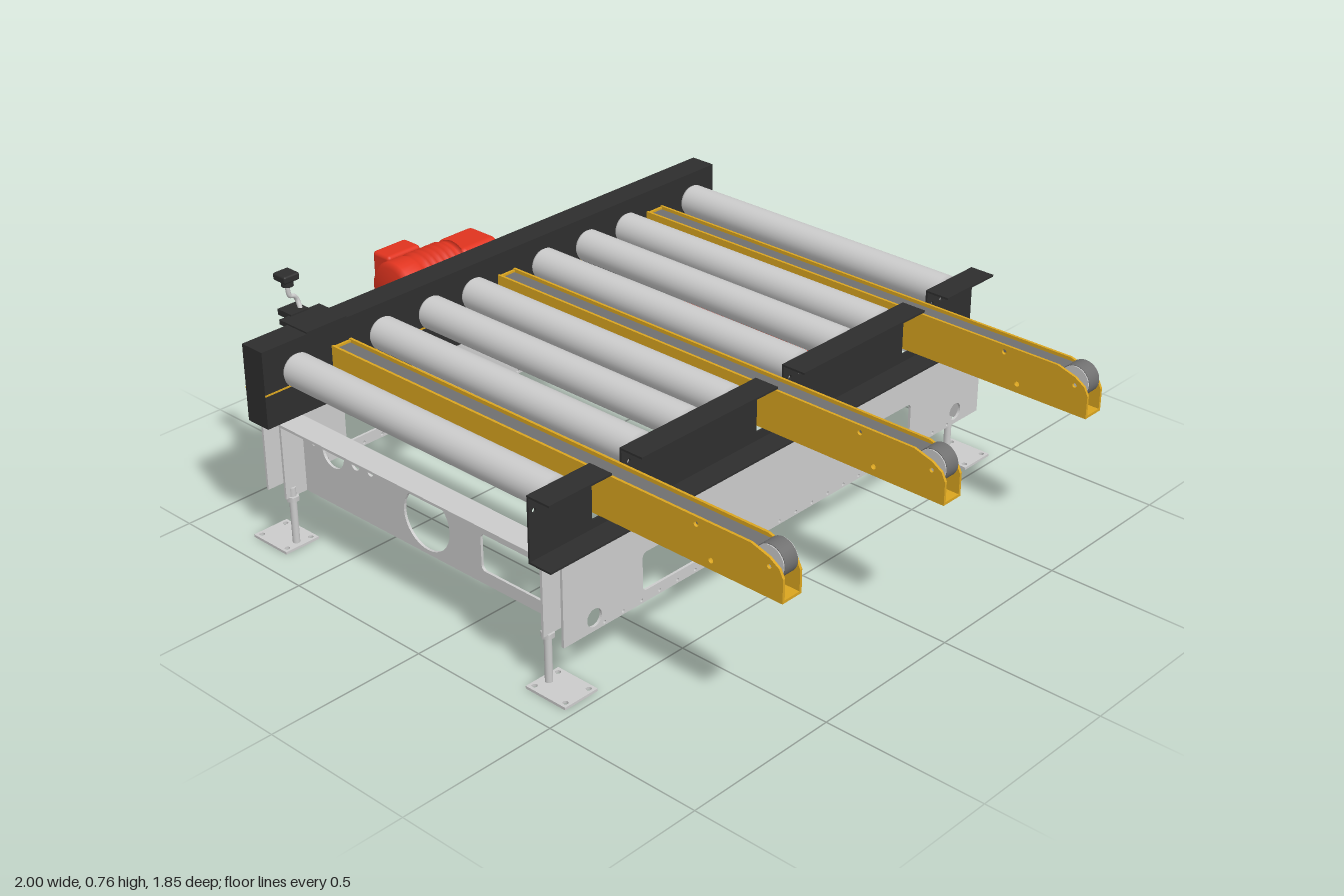
import * as THREE from 'three';
import { RoundedBoxGeometry } from 'three/addons/geometries/RoundedBoxGeometry.js';

const mat = (color) => new THREE.MeshStandardMaterial({ color, side: THREE.DoubleSide });

export function createModel() {
  const model = new THREE.Group();
  const grey = mat(0xcccccc), black = mat(0x2e2e2e), yellow = mat(0xdaa520), red = mat(0xe0341f), rubber = mat(0x707070);

  const add = (name, geo, material, x = 0, y = 0, z = 0, parent = model) => {
    const m = new THREE.Mesh(geo, material);
    m.name = name;
    m.position.set(x, y, z);
    parent.add(m);
    return m;
  };
  // box given by its limits on each axis
  const box = (name, material, [x0, x1], [y0, y1], [z0, z1], parent = model) =>
    add(name, new THREE.BoxGeometry(x1 - x0, y1 - y0, z1 - z0), material,
      (x0 + x1) / 2, (y0 + y1) / 2, (z0 + z1) / 2, parent);
  const soft = (name, material, [x0, x1], [y0, y1], [z0, z1], r, parent) =>
    add(name, new RoundedBoxGeometry(x1 - x0, y1 - y0, z1 - z0, 3, r), material,
      (x0 + x1) / 2, (y0 + y1) / 2, (z0 + z1) / 2, parent);
  const alongX = (geo) => geo.rotateZ(-Math.PI / 2);
  const alongZ = (geo) => geo.rotateX(Math.PI / 2);
  const cyl = (r, len, n = 32) => new THREE.CylinderGeometry(r, r, len, n);

  const outline = (pts) => new THREE.Shape(pts.map(([a, b]) => new THREE.Vector2(a, b)));
  const hole = (shape, x, y, r) => shape.holes.push(new THREE.Path().absarc(x, y, r, 0, Math.PI * 2, true));
  const windowHole = (shape, x0, x1, y0, y1, r = 0.015) => {
    const p = new THREE.Path();
    p.absarc(x0 + r, y0 + r, r, Math.PI, Math.PI * 1.5);
    p.absarc(x1 - r, y0 + r, r, -Math.PI / 2, 0);
    p.absarc(x1 - r, y1 - r, r, 0, Math.PI / 2);
    p.absarc(x0 + r, y1 - r, r, Math.PI / 2, Math.PI);
    p.closePath();
    shape.holes.push(p);
  };
  const sheet = (shape, depth) =>
    new THREE.ExtrudeGeometry(shape, { depth, bevelEnabled: false, curveSegments: 16 }).translate(0, 0, -depth / 2);
  const sheetZY = (shape, depth) => sheet(shape, depth).rotateY(-Math.PI / 2);

  // base frame: side plates
  const side = outline([[-0.885, 0.16], [0.885, 0.16], [0.885, 0.4], [-0.885, 0.4]]);
  windowHole(side, 0.35, 0.59, 0.195, 0.313);
  windowHole(side, -0.55, -0.31, 0.195, 0.313);
  for (const s of [-1, 1]) hole(side, s * 0.772, 0.2, 0.027);
  for (let i = 0; i < 22; i++) hole(side, -0.735 + i * 0.07, 0.17, 0.005);
  for (const x of [-0.761, 0.436]) add('sidePlate', sheetZY(side, 0.008), grey, x);

  // base frame: recessed end plates, corner posts and feet
  const end = outline([[-0.762, 0.16], [0.437, 0.16], [0.437, 0.4], [-0.762, 0.4]]);
  windowHole(end, 0.055, 0.305, 0.2, 0.315);
  hole(end, -0.16, 0.265, 0.092);
  hole(end, -0.545, 0.328, 0.046);
  hole(end, -0.45, 0.328, 0.017);
  hole(end, -0.387, 0.328, 0.012);
  hole(end, -0.63, 0.328, 0.006);
  for (const s of [-1, 1]) {
    const span = (a, b) => (s > 0 ? [a, b] : [-b, -a]);
    add('endPlate', sheet(end, 0.008), grey, 0, 0, s * 0.806);
    box('endTopFlange', grey, [-0.68, 0.36], [0.392, 0.4], span(0.806, 0.885));
    for (const [post, footX, legX] of [[-0.68, -0.728, -0.68], [0.362, 0.4, 0.355]]) {
      box('cornerPost', grey, [post - 0.004, post + 0.004], [0.16, 0.4], span(0.806, 0.885));
      add('legRod', cyl(0.011, 0.185, 16), grey, legX, 0.0975, s * 0.86);
      const foot = outline([[-0.073, -0.06], [0.073, -0.06], [0.073, 0.06], [-0.073, 0.06]]);
      for (const a of [-1, 1]) for (const b of [-1, 1]) hole(foot, a * 0.057, b * 0.043, 0.008);
      add('footPlate', sheet(foot, 0.008).rotateX(-Math.PI / 2), grey, footX, 0.004, s * 0.858);
      add('legNut', cyl(0.02, 0.015, 6), grey, legX, 0.155, s * 0.86);
    }
  }

  // closed drive-side rail with trim lines
  box('driveRail', black, [-0.765, -0.68], [0.4, 0.64], [-0.925, 0.925]);
  for (const x of [-0.766, -0.679]) box('railTrim', yellow, [x - 0.001, x + 0.001], [0.502, 0.507], [-0.925, 0.925]);

  // open rail on the transfer side, notched where the arms pass
  const armZ = [-0.648, 0, 0.645];
  const web = [[-0.925, 0.4], [0.925, 0.4], [0.925, 0.6]];
  for (const z of [...armZ].reverse()) web.push([z + 0.055, 0.6], [z + 0.055, 0.432], [z - 0.055, 0.432], [z - 0.055, 0.6]);
  web.push([-0.925, 0.6]);
  const webShape = outline(web);
  for (let i = 0; i < 43; i++) {
    const z = -0.9 + i * 0.043;
    if (armZ.every((a) => Math.abs(a - z) > 0.07)) hole(webShape, z, 0.55, 0.007);
  }
  add('openRailWeb', sheetZY(webShape, 0.006), black, 0.363);
  const cuts = [-0.98, ...armZ, 0.98];
  for (let i = 0; i < 4; i++)
    box('openRailFlange', black, [0.36, 0.44], [0.594, 0.6], [cuts[i] + 0.055, cuts[i + 1] - 0.055]);
  box('openRailBase', black, [0.36, 0.44], [0.4, 0.406], [-0.925, 0.925]);

  // rollers
  const rollerProfile = [[0, -0.515], [0.045, -0.515], [0.051, -0.505], [0.051, 0.505], [0.045, 0.515], [0, 0.515]]
    .map(([r, y]) => new THREE.Vector2(r, y));
  for (const z of [-0.815, -0.51, -0.335, -0.147, 0.142, 0.313, 0.5, 0.815]) {
    add('roller', alongX(new THREE.LatheGeometry(rollerProfile, 40)), grey, -0.16, 0.553, z);
    add('rollerAxle', alongX(cyl(0.012, 1.145, 12)), grey, -0.198, 0.553, z);
  }

  // transfer arms: channel, belt and end wheel
  const arm = outline([[-0.68, 0.44], [0.995, 0.44], [0.995, 0.51], [0.982, 0.535], [0.95, 0.555], [0.89, 0.573], [-0.68, 0.573]]);
  hole(arm, 0.71, 0.552, 0.008);
  hole(arm, 0.76, 0.467, 0.008);
  hole(arm, 0.95, 0.53, 0.007);
  for (const z of armZ) {
    const g = new THREE.Group();
    g.name = 'transferArm';
    g.position.z = z;
    model.add(g);
    for (const s of [-1, 1]) add('armSide', sheet(arm, 0.008), yellow, 0, 0, s * 0.032, g);
    box('armFloor', yellow, [-0.68, 0.995], [0.44, 0.448], [-0.032, 0.032], g);
    box('armBackEnd', yellow, [-0.68, -0.672], [0.44, 0.57], [-0.032, 0.032], g);
    box('belt', rubber, [-0.67, 0.93], [0.545, 0.565], [-0.024, 0.024], g);
    add('endWheel', alongZ(cyl(0.048, 0.048)), rubber, 0.943, 0.537, 0, g);
    for (const s of [-1, 1]) add('wheelRim', alongZ(cyl(0.046, 0.003)), grey, 0.943, 0.537, s * 0.0255, g);
  }

  // ribbed motor body running along y, from the flange to the fan cover
  const motorGeo = (r, len) => {
    const pts = [new THREE.Vector2(0, 0), new THREE.Vector2(r * 0.95, 0), new THREE.Vector2(r * 0.95, len * 0.08)];
    for (let i = 0; i < 5; i++) {
      const y = len * (0.12 + i * 0.1);
      pts.push(new THREE.Vector2(r * 0.9, y), new THREE.Vector2(r, y + 0.004), new THREE.Vector2(r, y + len * 0.06), new THREE.Vector2(r * 0.9, y + len * 0.065));
    }
    pts.push(new THREE.Vector2(r * 0.97, len * 0.66), new THREE.Vector2(r, len * 0.7), new THREE.Vector2(r, len * 0.93),
      new THREE.Vector2(r * 0.85, len), new THREE.Vector2(0, len));
    return new THREE.LatheGeometry(pts, 32);
  };

  // motor inside the frame
  const low = new THREE.Group();
  low.name = 'lowerMotor';
  model.add(low);
  add('motorBody', motorGeo(0.108, 0.28).rotateZ(Math.PI / 2), red, -0.265, 0.223, -0.69, low);
  soft('gearbox', red, [-0.275, -0.085], [0.16, 0.35], [-0.775, -0.635], 0.02, low);
  soft('terminalBox', red, [-0.47, -0.31], [0.14, 0.31], [-0.6, -0.492], 0.012, low);
  add('gearFlange', alongZ(cyl(0.09, 0.03, 40)), red, -0.16, 0.262, -0.8, low);
  add('gearHub', alongZ(cyl(0.04, 0.02)), red, -0.16, 0.262, -0.625, low);
  for (let i = 0; i < 6; i++) {
    const a = (i * Math.PI) / 3;
    add('flangeBolt', alongZ(cyl(0.008, 0.01, 6)), red, -0.16 + 0.07 * Math.cos(a), 0.262 + 0.07 * Math.sin(a), -0.817, low);
  }

  // motor on the outside of the drive rail
  const outer = new THREE.Group();
  outer.name = 'outerMotor';
  model.add(outer);
  add('motorBody', motorGeo(0.087, 0.25).rotateX(Math.PI / 2), red, -0.854, 0.557, 0.06, outer);
  soft('gearbox', red, [-0.915, -0.79], [0.48, 0.63], [-0.075, 0.07], 0.02, outer);
  soft('terminalBox', red, [-1, -0.925], [0.49, 0.625], [0.12, 0.25], 0.012, outer);
  add('gearFlange', alongX(cyl(0.065, 0.03)), red, -0.78, 0.555, -0.005, outer);

  // sensor on a bent stem
  const sensor = new THREE.Group();
  sensor.name = 'sensor';
  model.add(sensor);
  box('sensorBase', black, [-0.8, -0.68], [0.63, 0.645], [0.62, 0.765], sensor);
  const stem = new THREE.CatmullRomCurve3([[0.64, 0.68], [0.672, 0.68], [0.686, 0.69], [0.692, 0.705], [0.71, 0.71], [0.74, 0.71]]
    .map(([y, z]) => new THREE.Vector3(-0.822 + (y < 0.65 ? 0.015 : 0), y, z)));
  add('sensorStem', new THREE.TubeGeometry(stem, 24, 0.007, 10), grey, 0, 0, 0, sensor);
  box('sensorFoot', black, [-0.85, -0.79], [0.632, 0.65], [0.665, 0.73], sensor);
  soft('sensorHead', black, [-0.852, -0.798], [0.742, 0.765], [0.682, 0.737], 0.006, sensor);
  add('sensorCollar', cyl(0.018, 0.02, 16), black, -0.822, 0.735, 0.71, sensor);

  return model;
}
